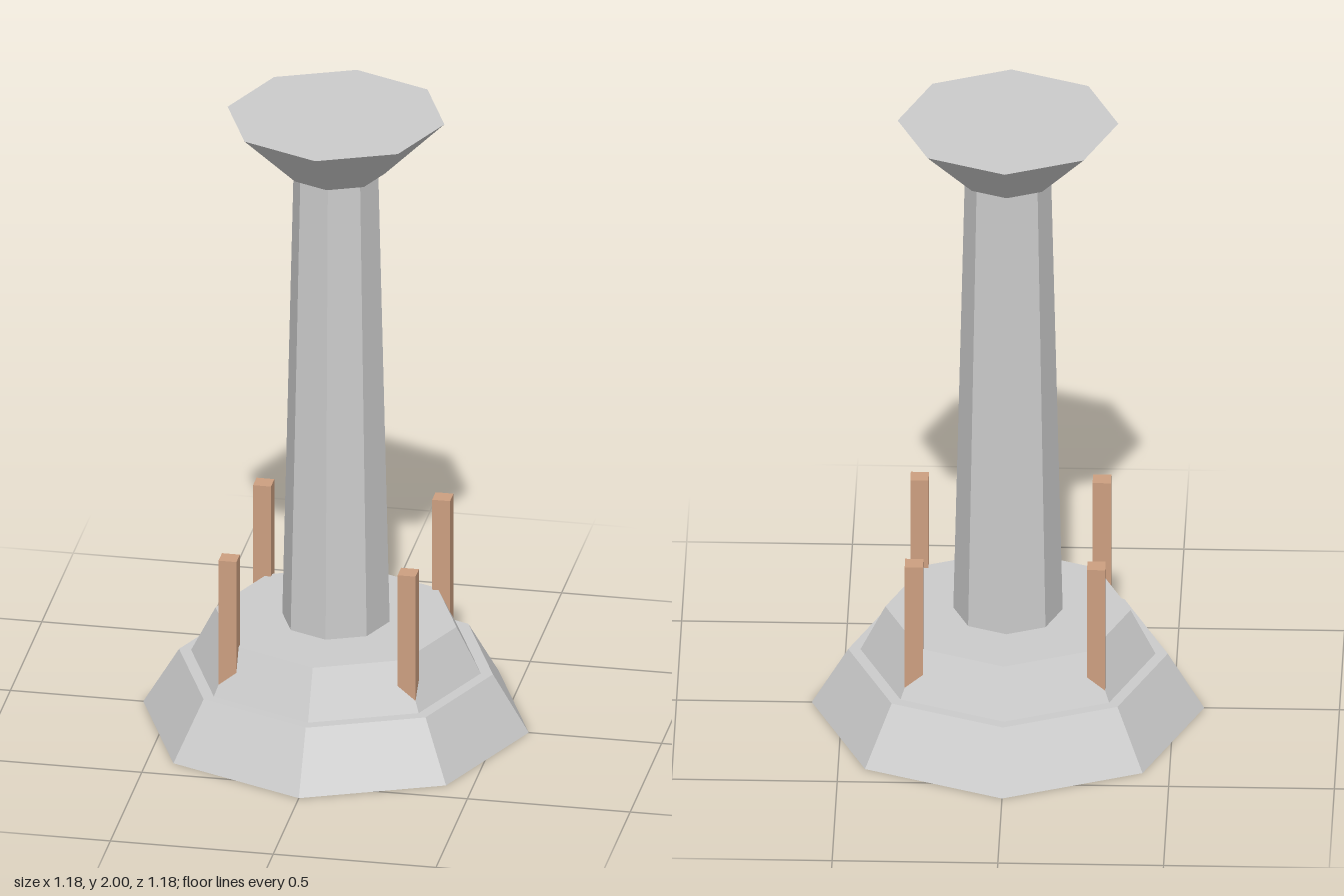
import * as THREE from 'three';

export function createModel() {
  const model = new THREE.Group();
  model.name = 'pedestal';
  const stone = new THREE.MeshStandardMaterial({ color: 0xcccccc, flatShading: true });
  const wood = new THREE.MeshStandardMaterial({ color: 0xcc9f80, flatShading: true });

  // Tapered octagonal block standing between two heights
  function octagon(name, rBottom, rTop, y0, y1) {
    const mesh = new THREE.Mesh(new THREE.CylinderGeometry(rTop, rBottom, y1 - y0, 8), stone);
    mesh.name = name;
    mesh.position.y = (y0 + y1) / 2;
    model.add(mesh);
  }

  octagon('lowerBase', 0.592, 0.482, 0, 0.184);
  octagon('upperBase', 0.445, 0.37, 0.184, 0.332);
  octagon('column', 0.165, 0.13, 0.332, 1.82);
  octagon('capital', 0.15, 0.333, 1.82, 2);

  // Four square posts set into the corners of the upper base
  const postGeometry = new THREE.BoxGeometry(0.055, 0.445, 0.055);
  for (const x of [-1, 1]) {
    for (const z of [-1, 1]) {
      const post = new THREE.Mesh(postGeometry, wood);
      post.name = (z > 0 ? 'front' : 'back') + (x > 0 ? 'Left' : 'Right') + 'Post';
      post.position.set(x * 0.275, 0.4085, z * 0.275);
      model.add(post);
    }
  }

  return model;
}
